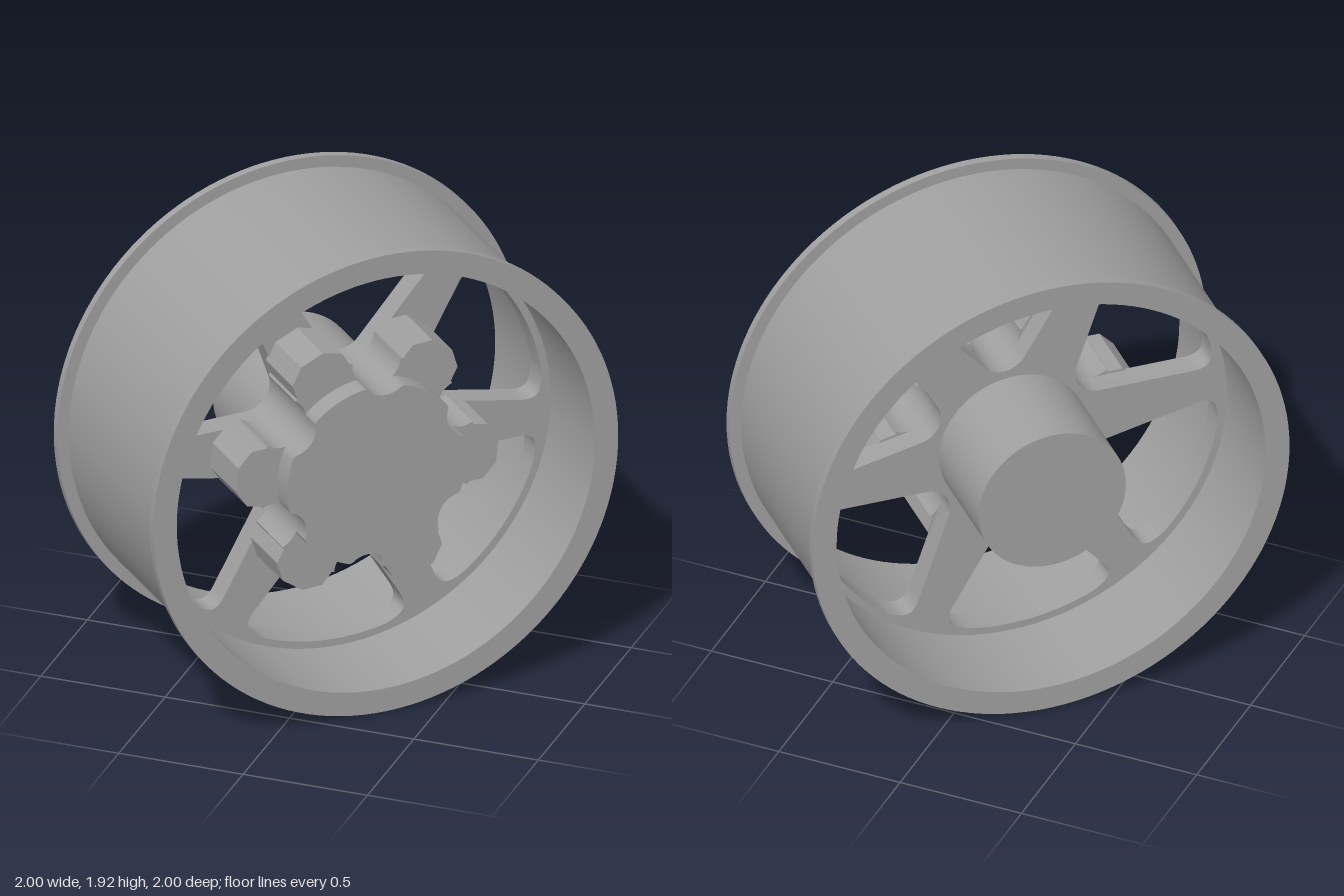
import * as THREE from 'three';
import { toCreasedNormals } from 'three/addons/utils/BufferGeometryUtils.js';

const RAD = Math.PI / 180;
const SPOKES = 6, STEP = Math.PI / 3;
const FIRST = -5 * RAD;                 // angle of the first spoke
const SCALLOP_R = 0.1, SCALLOP_C = 0.43; // round channels between the lugs

const turn = (x, y, a) => new THREE.Vector2(
  x * Math.cos(a) - y * Math.sin(a), x * Math.sin(a) + y * Math.cos(a));

// points on an arc, from angle a to angle b
function arc(cx, cy, r, a, b, n) {
  const pts = [];
  for (let i = 0; i <= n; i++) {
    const t = a + (b - a) * i / n;
    pts.push([cx + r * Math.cos(t), cy + r * Math.sin(t)]);
  }
  return pts;
}

// extrude a shape along z between two depths, smooth on curved walls
function slab(shape, z0, z1) {
  const g = new THREE.ExtrudeGeometry(shape, { depth: z1 - z0, bevelEnabled: false, curveSegments: 48 });
  g.translate(0, 0, z0);
  return toCreasedNormals(g, 0.45);
}

// window between two spokes, pointing along +x: scallop, straight sides, rounded outer corners
function windowPoints() {
  const side = 126 * RAD;
  const inner = arc(SCALLOP_C, 0, SCALLOP_R, side, 2 * Math.PI - side, 14);
  const outer = arc(0, 0, 0.835, -17.5 * RAD, 17.5 * RAD, 12);
  const corner = new THREE.CubicBezierCurve(
    new THREE.Vector2(...outer[12]), new THREE.Vector2(0.762, 0.322),
    new THREE.Vector2(0.735, 0.352), new THREE.Vector2(0.66, 0.291)).getPoints(10);
  const upper = corner.slice(1).map(p => [p.x, p.y]);
  const lower = upper.map(([x, y]) => [x, -y]).reverse();
  return [...inner, ...lower, ...outer, ...upper];
}

export function createModel() {
  const metal = new THREE.MeshStandardMaterial({ color: 0xa0a0a0 });
  metal.name = 'grey metal';
  const wheel = new THREE.Group();
  wheel.name = 'wheel';
  const add = (name, geometry) => {
    const mesh = new THREE.Mesh(geometry, metal);
    mesh.name = name;
    wheel.add(mesh);
  };

  // barrel with a flange at each end
  const profile = [
    [0.865, -0.452], [0.962, -0.452], [0.962, -0.42], [0.915, -0.42],
    [0.915, 0.42], [0.962, 0.42], [0.962, 0.452], [0.865, 0.452], [0.865, -0.452],
  ].map(p => new THREE.Vector2(...p));
  add('rim', toCreasedNormals(new THREE.LatheGeometry(profile, 128).rotateX(Math.PI / 2), 0.45));

  // spoke plate with six windows
  const plate = new THREE.Shape();
  plate.absarc(0, 0, 0.875, 0, Math.PI * 2, false);
  const win = windowPoints();
  for (let k = 0; k < SPOKES; k++) {
    const a = FIRST + (k + 0.5) * STEP;
    plate.holes.push(new THREE.Path(win.map(([x, y]) => turn(x, y, a))));
  }
  add('spokes', slab(plate, -0.05, 0.05));

  // star-shaped boss: chamfered lugs on the spokes, scallops between them
  const lug = [[0.43, -0.12], [0.49, -0.113], [0.54, -0.05], [0.54, 0.05], [0.49, 0.113], [0.43, 0.12]];
  const scallop = arc(SCALLOP_C * Math.cos(STEP / 2), SCALLOP_C * Math.sin(STEP / 2),
    SCALLOP_R, -58 * RAD, -242 * RAD, 16);
  const star = [];
  for (let k = 0; k < SPOKES; k++) {
    for (const [x, y] of [...lug, ...scallop]) star.push(turn(x, y, FIRST + k * STEP));
  }
  add('lugBoss', slab(new THREE.Shape(star), 0.04, 0.285));

  // round front cap, bitten by the scallops
  const cap = [];
  const n = 32;
  for (let i = 0; i < SPOKES * n; i++) {
    const f = ((i % n) / n - 0.5) * STEP;
    const d = SCALLOP_R ** 2 - (SCALLOP_C * Math.sin(f)) ** 2;
    const bite = d > 0 ? SCALLOP_C * Math.cos(f) - Math.sqrt(d) : 1;
    cap.push(turn(Math.min(0.372, bite), 0, FIRST + STEP * i / n));
  }
  add('frontCap', slab(new THREE.Shape(cap), 0.28, 0.372));

  // cylindrical hub at the back
  const hub = new THREE.CylinderGeometry(0.297, 0.297, 0.43, 64).rotateX(Math.PI / 2);
  hub.translate(0, 0, -0.25);
  add('rearHub', hub);

  // stand the wheel on the ground, facing diagonally
  wheel.rotation.y = Math.PI / 4;
  wheel.position.y = 0.962;
  const model = new THREE.Group();
  model.name = 'wheelModel';
  model.add(wheel);
  return model;
}
